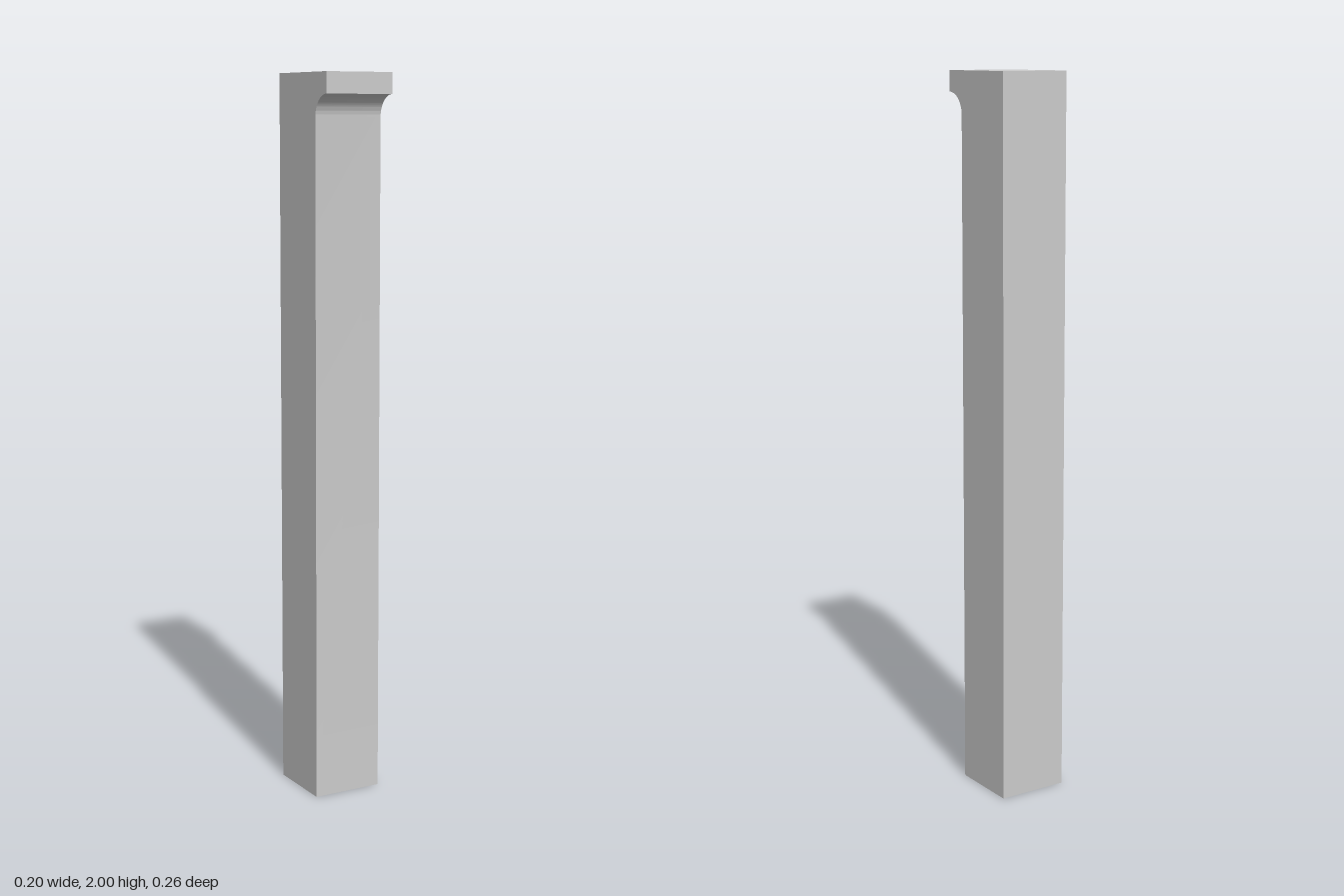
import * as THREE from 'three';
import { toCreasedNormals } from 'three/addons/utils/BufferGeometryUtils.js';

const WIDTH = 0.2, BACK = -0.13, FACE = 0.07, LIP = 0.13, TOP = 2;
const COVE = LIP - FACE; // radius of the concave fillet under the lip
const LIP_BOTTOM = 1.943;

export function createModel() {
  const group = new THREE.Group();
  group.name = 'post';

  // Side profile (z, y): square shaft with a lip at the top front, carried by a cove
  const profile = new THREE.Shape();
  profile.moveTo(BACK, 0);
  profile.lineTo(FACE, 0);
  profile.lineTo(FACE, LIP_BOTTOM - COVE);
  profile.absarc(LIP, LIP_BOTTOM - COVE, COVE, Math.PI, Math.PI / 2, true);
  profile.lineTo(LIP, TOP);
  profile.lineTo(BACK, TOP);
  profile.closePath();

  // Extrude across the width, then turn the profile to face +z
  let geometry = new THREE.ExtrudeGeometry(profile, { depth: WIDTH, bevelEnabled: false, curveSegments: 24 });
  geometry.translate(0, 0, -WIDTH / 2);
  geometry.rotateY(-Math.PI / 2);
  geometry = toCreasedNormals(geometry, 0.5);

  const post = new THREE.Mesh(geometry, new THREE.MeshStandardMaterial({ color: 0xcccccc }));
  post.name = 'lippedPost';
  group.add(post);
  return group;
}
